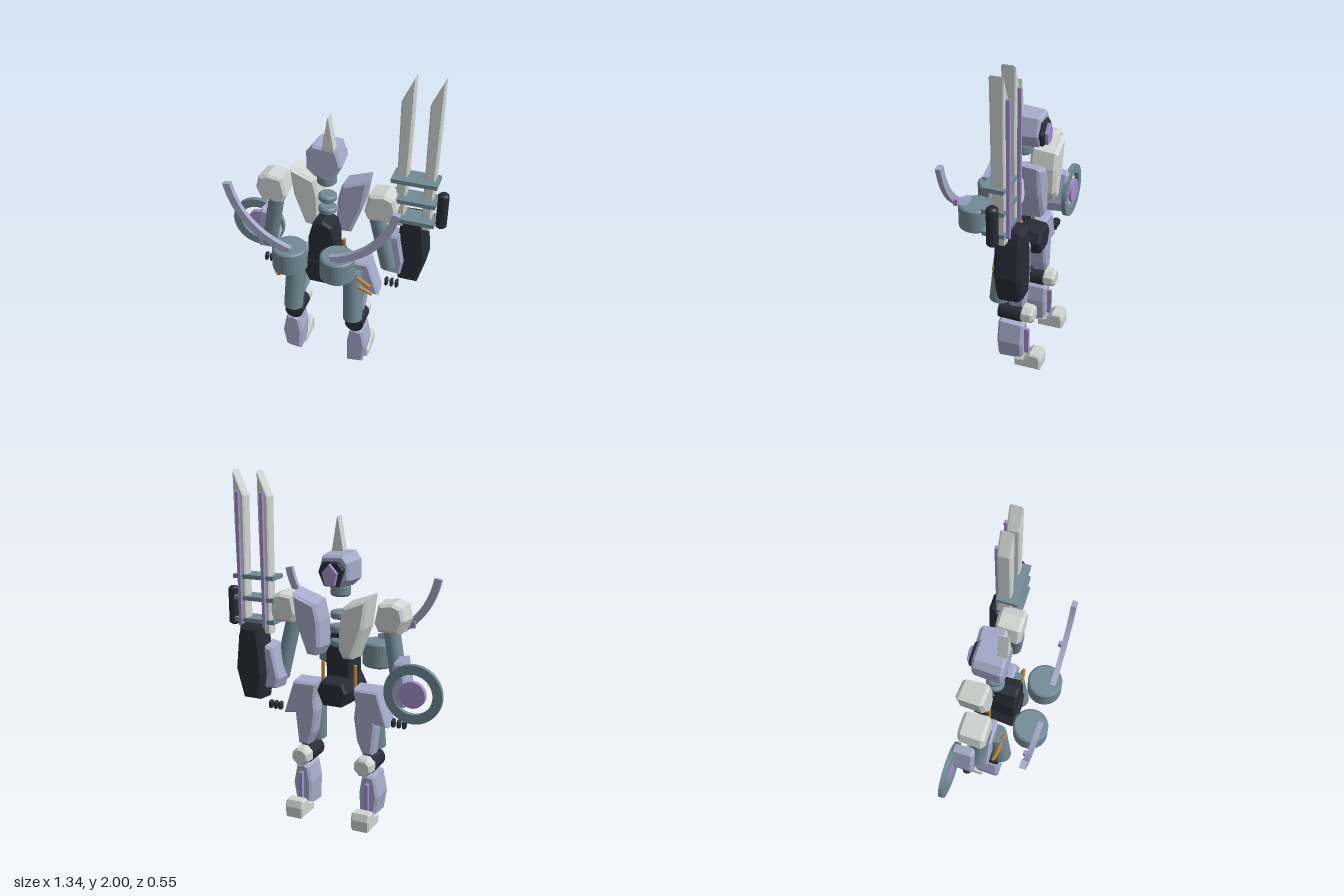
import * as THREE from 'three';

const mat = (name, color) => {
  const m = new THREE.MeshStandardMaterial({ color });
  m.name = name;
  return m;
};

export function createModel() {
  const white = mat('paleGrey', 0xd0d6d3);
  const lilac = mat('lilac', 0xa5abca);
  const slate = mat('slate', 0x728a95);
  const black = mat('charcoal', 0x272c37);
  const purple = mat('purple', 0xa48fcc);
  const orange = mat('orange', 0xbd8436);

  const root = new THREE.Group();
  root.name = 'robot';
  const body = new THREE.Group();
  body.name = 'body';
  body.position.x = -0.015;
  root.add(body);

  const add = (parent, name, geo, material) => {
    const m = new THREE.Mesh(geo, material);
    m.name = name;
    parent.add(m);
    return m;
  };

  // Bevelled plate: outline in xy, from z0 (back) to z1, shrinking to `taper` at the back
  const plate = (pts, z0, z1, taper = 1, bevel = 0.014) => {
    const shape = new THREE.Shape(pts.map(([x, y]) => new THREE.Vector2(x, y)));
    const geo = new THREE.ExtrudeGeometry(shape, {
      depth: z1 - z0 - 2 * bevel, bevelEnabled: bevel > 0, bevelSegments: 1,
      bevelSize: bevel, bevelOffset: -bevel, bevelThickness: bevel,
    });
    geo.translate(0, 0, z0 + bevel);
    const cx = pts.reduce((a, p) => a + p[0], 0) / pts.length;
    const cy = pts.reduce((a, p) => a + p[1], 0) / pts.length;
    const pos = geo.attributes.position;
    for (let i = 0; i < pos.count; i++) {
      const k = THREE.MathUtils.lerp(taper, 1, (pos.getZ(i) - z0) / (z1 - z0));
      pos.setXY(i, cx + (pos.getX(i) - cx) * k, cy + (pos.getY(i) - cy) * k);
    }
    geo.computeVertexNormals();
    return geo;
  };

  const ngon = (x, y, r, n = 8) => Array.from({ length: n }, (_, i) => {
    const a = ((i + 0.5) / n) * Math.PI * 2;
    return [x + r * Math.cos(a), y + r * Math.sin(a)];
  });

  const box = (x0, x1, y0, y1, z0, z1) =>
    new THREE.BoxGeometry(x1 - x0, y1 - y0, z1 - z0)
      .translate((x0 + x1) / 2, (y0 + y1) / 2, (z0 + z1) / 2);

  // Round bar between two points
  const rod = (a, b, r, seg = 20) => {
    const p = new THREE.Vector3(...a), q = new THREE.Vector3(...b);
    const d = q.clone().sub(p);
    const geo = new THREE.CylinderGeometry(r, r, d.length(), seg);
    geo.applyQuaternion(new THREE.Quaternion().setFromUnitVectors(
      new THREE.Vector3(0, 1, 0), d.clone().normalize()));
    return geo.translate((a[0] + b[0]) / 2, (a[1] + b[1]) / 2, (a[2] + b[2]) / 2);
  };

  // Upright turned part with chamfered rims
  const drum = (x, z, y0, y1, r, c = 0.01, seg = 32) => {
    const pts = [[0, y0], [r - c, y0], [r, y0 + c], [r, y1 - c], [r - c, y1], [0, y1]];
    const geo = new THREE.LatheGeometry(pts.map(p => new THREE.Vector2(...p)), seg).toNonIndexed();
    geo.computeVertexNormals();
    return geo.translate(x, 0, z);
  };

  // Head, horn and visor
  add(body, 'head', plate([[-0.105, 1.53], [-0.07, 1.575], [0.07, 1.567], [0.102, 1.46],
    [0.055, 1.375], [-0.055, 1.375], [-0.105, 1.42]], -0.18, -0.005, 0.88), lilac);
  add(body, 'horn', plate([[-0.015, 1.55], [0.06, 1.55], [0.025, 1.757], [0.021, 1.757]],
    -0.06, -0.005, 1, 0.001), white);
  add(body, 'visor', plate([[-0.08, 1.49], [-0.045, 1.53], [0.05, 1.53], [0.08, 1.47],
    [0.045, 1.39], [-0.045, 1.39]], -0.2, -0.17, 0.95, 0.008), black);
  add(body, 'visorLens', plate([[-0.045, 1.47], [0, 1.52], [0.045, 1.47], [0.03, 1.4],
    [-0.03, 1.4]], -0.218, -0.195, 1, 0.003), purple);

  // Neck and spine
  add(body, 'neck', drum(0, -0.065, 1.32, 1.385, 0.057), slate);
  for (const y of [1.215, 1.135, 1.055]) {
    add(body, 'vertebra', drum(0, -0.08, y - 0.022, y + 0.022, 0.053), slate);
  }

  // Torso and pelvis
  add(body, 'abdomen', plate([[-0.045, 1.115], [0.01, 1.135], [0.07, 1.1], [0.095, 1.01],
    [0.09, 0.82], [-0.08, 0.82], [-0.075, 1.0]], -0.09, 0.06, 0.9), black);
  add(body, 'pelvis', plate([[-0.08, 0.86], [0.08, 0.86], [0.115, 0.79], [0.07, 0.685],
    [-0.07, 0.685], [-0.115, 0.79]], -0.2, 0.065, 0.8), black);

  for (const s of [1, -1]) {
    const side = s > 0 ? 'left' : 'right';
    const half = new THREE.Group();
    half.name = side + 'Half';
    body.add(half);
    const m = pts => pts.map(([x, y]) => [s * x, y]);
    const part = (name, geo, material) => add(half, name, geo, material);

    // Chest plate and shoulder
    part('chestPlate', plate(m([[0.235, 1.362], [0.08, 1.305], [0.055, 1.2], [0.05, 1.04],
      [0.08, 0.985], [0.14, 0.99], [0.21, 1.18]]), -0.235, -0.075, 0.9, 0.018),
      s > 0 ? lilac : white);
    part('shoulder', plate(m([[0.23, 1.2], [0.255, 1.315], [0.345, 1.327], [0.4, 1.305],
      [0.42, 1.225], [0.385, 1.145], [0.255, 1.15]]), -0.165, -0.015, 0.9, 0.016), white);

    // Arm and hand
    part('upperArm', rod([s * 0.3, 1.17, -0.05], [s * 0.372, 0.81, -0.085], 0.046), slate);
    part('forearm', plate(m([[0.425, 1.03], [0.37, 1.02], [0.325, 0.82], [0.345, 0.755],
      [0.445, 0.75], [0.46, 0.84]]), -0.21, -0.08, 0.9), lilac);
    for (let i = 0; i < 3; i++) {
      const f = new THREE.CapsuleGeometry(0.012, 0.028, 3, 8).scale(1, 1, 1.9);
      part('finger', f.translate(s * (0.355 + i * 0.032), 0.641, -0.137), black);
    }

    // Front drum with curved horn
    part('drum', drum(s * 0.142, 0.174, 0.867, 1.015, 0.1), slate);
    part('drumCap', drum(s * 0.142, 0.174, 0.853, 0.87, 0.052, 0.003), black);
    const arc = new THREE.Shape();
    const from = s > 0 ? -Math.PI / 2 + 0.25 : Math.PI * 1.5 - 0.25;
    const to = s > 0 ? -0.19 : Math.PI + 0.19;
    arc.absarc(0, 1.49, 0.505, from, to, s < 0);
    arc.absarc(0, 1.49, 0.462, to, from, s > 0);
    part('curvedHorn', new THREE.ExtrudeGeometry(arc,
      { depth: 0.03, bevelEnabled: false, curveSegments: 20 }).translate(0, 0, 0.21), lilac);
    part('hornStud', box(s * 0.34 - 0.011, s * 0.34 + 0.011, 1.105, 1.145, 0.19, 0.215), purple);

    // Hip skirt with hydraulic struts
    part('hipSkirt', plate(m([[0.265, 0.818], [0.11, 0.818], [0.13, 0.65], [0.18, 0.62],
      [0.335, 0.6]]), -0.16, -0.03, 0.92, 0.012), lilac);
    part('strut', rod([s * 0.175, 0.785, 0.025], [s * 0.29, 0.69, 0.005], 0.011, 10), orange);
    part('strut', rod([s * 0.22, 0.69, 0.02], [s * 0.3, 0.625, -0.01], 0.011, 10), orange);
    part('waistPiston', rod([s * 0.1, 0.75, -0.09], [s * 0.1, 0.93, -0.09], 0.01, 10), orange);

    // Leg
    part('thighCylinder', rod([s * 0.176, 0.77, -0.02], [s * 0.192, 0.425, 0.012], 0.059), slate);
    part('thighArmour', plate(m([[0.13, 0.78], [0.25, 0.78], [0.255, 0.6], [0.235, 0.42],
      [0.17, 0.42], [0.135, 0.5], [0.115, 0.64]]), -0.16, -0.06, 0.94), lilac);
    part('kneeJoint', rod([s * 0.197, 0.363, 0], [s * 0.197, 0.363, -0.14], 0.058), black);
    part('kneeCap', plate(ngon(s * 0.197, 0.367, 0.061), -0.215, -0.135, 0.92), white);
    part('shin', plate(m([[0.167, 0.29], [0.195, 0.31], [0.25, 0.3], [0.275, 0.17],
      [0.255, 0.05], [0.155, 0.037], [0.15, 0.19]]), -0.157, 0, 0.93), lilac);
    part('shinStripe', box(s * 0.21 - 0.01, s * 0.21 + 0.01, 0.08, 0.255, -0.183, -0.15), purple);
    // Foot side outline is swept across the leg, toe towards the back
    const foot = plate([[0.11, 0], [0.272, 0.005], [0.276, 0.07], [0.262, 0.11],
      [0.205, 0.11], [0.165, 0.07], [0.11, 0.06]], -0.056, 0.056, 1, 0.01);
    part('foot', foot.rotateY(Math.PI / 2).translate(s * 0.21, 0, 0), white);
  }

  // Twin blade weapon on the left arm
  const weapon = new THREE.Group();
  weapon.name = 'twinBlade';
  root.add(weapon);
  for (const x of [0.37, 0.523]) {
    add(weapon, 'blade', plate([[x, 1.86], [x + 0.066, 2], [x + 0.066, 1.7], [x + 0.054, 1.08],
      [x + 0.004, 1.08]], -0.187, -0.113, 1, 0.008), white);
    add(weapon, 'bladeStripe', box(x + 0.025, x + 0.043, 1.12, 1.88, -0.206, -0.18), purple);
  }
  for (const y of [1.404, 1.278, 1.15]) {
    add(weapon, 'crossBar', box(0.347, 0.605, y - 0.012, y + 0.012, -0.19, -0.067), slate);
  }
  add(weapon, 'grip', drum(0.634, -0.14, 1.11, 1.335, 0.032, 0.012, 12), black);
  add(weapon, 'weaponBody', plate([[0.41, 1.14], [0.53, 1.145], [0.55, 1.08], [0.573, 0.87],
    [0.525, 0.692], [0.41, 0.692], [0.385, 0.85]], -0.26, -0.11, 0.95, 0.02), black);

  // Ring shield on the right arm
  const shield = new THREE.Group();
  shield.name = 'ringShield';
  shield.position.set(-0.503, 0.848, -0.203);
  root.add(shield);
  const ring = new THREE.Shape().absarc(0, 0, 0.166, 0, Math.PI * 2);
  ring.holes.push(new THREE.Path().absarc(0, 0, 0.113, 0, Math.PI * 2, true));
  add(shield, 'ring', new THREE.ExtrudeGeometry(ring,
    { depth: 0.028, bevelEnabled: false, curveSegments: 24 }).translate(0, 0, -0.014), slate);
  add(shield, 'disc', new THREE.CylinderGeometry(0.074, 0.074, 0.03, 32)
    .rotateX(Math.PI / 2).translate(0, 0, -0.008), purple);

  return root;
}
